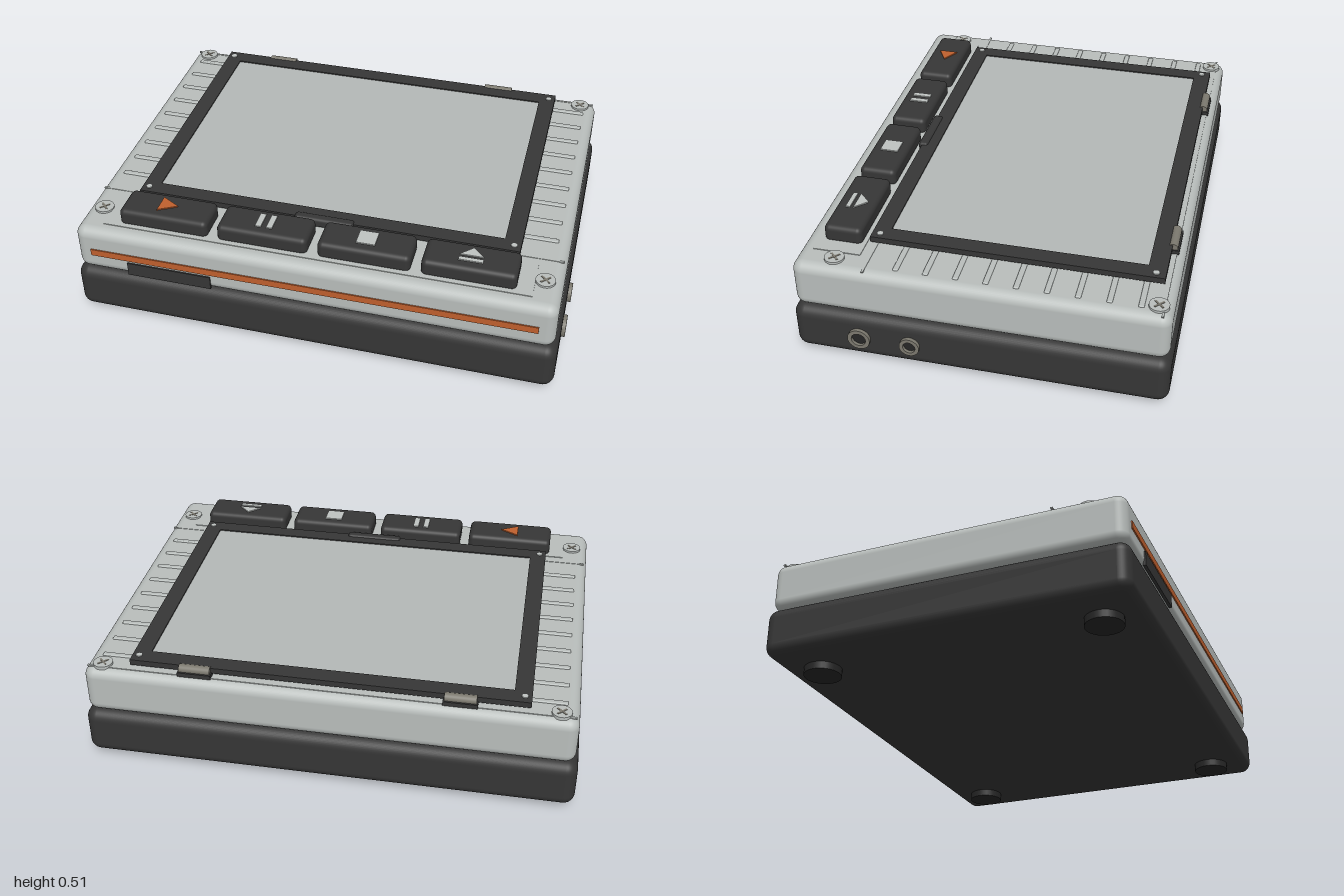
import * as THREE from 'three';
import { RoundedBoxGeometry } from 'three/addons/geometries/RoundedBoxGeometry.js';

const mat = (name, color) => {
  const m = new THREE.MeshStandardMaterial({ color });
  m.name = name;
  return m;
};

export function createModel() {
  const casing = mat('casing grey', 0xb9bebc);
  const glass = mat('window grey', 0xb4b8b7);
  const dark = mat('charcoal', 0x363636);
  const rubber = mat('rubber black', 0x262626);
  const orange = mat('orange', 0xc0602e);
  const metal = mat('metal', 0x7c796f);
  const icon = mat('icon grey', 0xbfc3c1);

  const root = new THREE.Group();
  root.name = 'player';
  const body = new THREE.Group();
  body.name = 'body';
  body.position.x = -0.0075;
  root.add(body);

  const add = (name, geo, material, x, y, z) => {
    const m = new THREE.Mesh(geo, material);
    m.name = name;
    m.position.set(x, y, z);
    body.add(m);
    return m;
  };
  const box = (name, material, w, h, d, x, y, z) =>
    add(name, new THREE.BoxGeometry(w, h, d), material, x, y, z);
  const rounded = (name, material, w, h, d, r, x, y, z) =>
    add(name, new RoundedBoxGeometry(w, h, d, 5, r), material, x, y, z);
  const disc = (name, material, r, h, x, y, z) =>
    add(name, new THREE.CylinderGeometry(r, r, h, 28), material, x, y, z);
  // Flat outline given as [x, z] corners, raised upward
  const plate = (name, material, pts, h, x, y, z) => {
    const shape = new THREE.Shape(pts.map(([a, b]) => new THREE.Vector2(a, -b)));
    const geo = new THREE.ExtrudeGeometry(shape, { depth: h, bevelEnabled: false });
    geo.rotateX(-Math.PI / 2);
    return add(name, geo, material, x, y, z);
  };

  // Two-tone shell
  rounded('base', dark, 1.985, 0.205, 1.485, 0.046, 0, 0.1325, 0);
  rounded('upperCasing', casing, 1.956, 0.204, 1.464, 0.042, 0, 0.337, 0);

  // Feet and corner screws
  for (const sx of [-1, 1]) {
    for (const z of [-0.58, 0.585]) disc('foot', rubber, 0.075, 0.04, sx * 0.8, 0.02, z);
    for (const z of [-0.675, 0.575]) {
      disc('screwHead', casing, 0.039, 0.014, sx * 0.907, 0.441, z);
      for (const a of [1, -1]) {
        box('screwSlot', metal, 0.048, 0.002, 0.008, sx * 0.907, 0.4485, z).rotation.y = a * Math.PI / 4;
      }
    }
    // Grip ribs beside the lid
    for (let i = 0; i < 9; i++) {
      rounded('gripRib', casing, 0.15, 0.012, 0.022, 0.005, sx * 0.854, 0.439, -0.612 + i * 0.1172);
    }
  }
  // Seam strips across the top and the button tray
  for (const z of [-0.695, 0.445]) box('seamStrip', casing, 1.93, 0.006, 0.009, 0, 0.438, z);
  box('buttonTray', casing, 1.74, 0.006, 0.19, 0, 0.439, 0.58);

  // Lid frame with its window
  const frame = new THREE.Shape();
  frame.moveTo(-0.792, -0.47).lineTo(0.792, -0.47).lineTo(0.792, 0.68).lineTo(-0.792, 0.68).closePath();
  const opening = new THREE.Path();
  opening.moveTo(-0.723, -0.403).lineTo(-0.723, 0.608).lineTo(0.723, 0.608).lineTo(0.723, -0.403).closePath();
  frame.holes.push(opening);
  const frameGeo = new THREE.ExtrudeGeometry(frame, { depth: 0.024, bevelEnabled: false });
  frameGeo.rotateX(-Math.PI / 2);
  add('lidFrame', frameGeo, dark, 0, 0.451, 0);
  box('lidWindow', glass, 1.446, 0.016, 1.011, 0, 0.462, -0.1025);
  for (const sx of [-1, 1]) {
    for (const z of [-0.642, 0.437]) disc('lidScrew', icon, 0.013, 0.006, sx * 0.764, 0.476, z);
    // Hinges
    box('hingeLeaf', dark, 0.135, 0.018, 0.05, sx * 0.524, 0.447, -0.682);
    const barrel = disc('hingeBarrel', metal, 0.019, 0.125, sx * 0.524, 0.462, -0.682);
    barrel.rotation.z = Math.PI / 2;
  }
  rounded('lidLatch', dark, 0.245, 0.042, 0.042, 0.014, 0, 0.462, 0.465);

  // Control buttons
  const buttonX = [-0.62, -0.207, 0.207, 0.62];
  for (const x of buttonX) rounded('button', dark, 0.372, 0.077, 0.154, 0.022, x, 0.468, 0.578);
  const y = 0.5055;
  plate('playIcon', orange, [[-0.035, -0.042], [-0.035, 0.042], [0.04, 0]], 0.006, buttonX[0], y, 0.575);
  for (const s of [-1, 1]) box('pauseIcon', icon, 0.024, 0.006, 0.08, buttonX[1] + s * 0.023, y + 0.003, 0.575);
  box('stopIcon', icon, 0.076, 0.006, 0.076, buttonX[2], y + 0.003, 0.575);
  plate('ejectIcon', icon, [[-0.048, 0.005], [0.048, 0.005], [0, -0.042]], 0.006, buttonX[3], y, 0.575);
  box('ejectBar', icon, 0.096, 0.006, 0.018, buttonX[3], y + 0.003, 0.603);

  // Front stripe and label panel
  box('frontStripe', orange, 1.825, 0.03, 0.009, 0, 0.33, 0.7325);
  box('frontPanel', dark, 0.355, 0.06, 0.012, -0.58, 0.275, 0.732);

  // Sockets on the side
  for (const [z, r, hole] of [[0.47, 0.045, 0.029], [0.265, 0.04, 0.025]]) {
    const ring = new THREE.Shape().absarc(0, 0, r, 0, Math.PI * 2, false);
    ring.holes.push(new THREE.Path().absarc(0, 0, hole, 0, Math.PI * 2, true));
    const geo = new THREE.ExtrudeGeometry(ring, { depth: 0.025, bevelEnabled: false, curveSegments: 20 });
    add('socketRing', geo, metal, 0.9825, 0.13, z).rotation.y = Math.PI / 2;
    disc('socketHole', rubber, hole, 0.006, 0.992, 0.13, z).rotation.z = Math.PI / 2;
  }

  return root;
}
